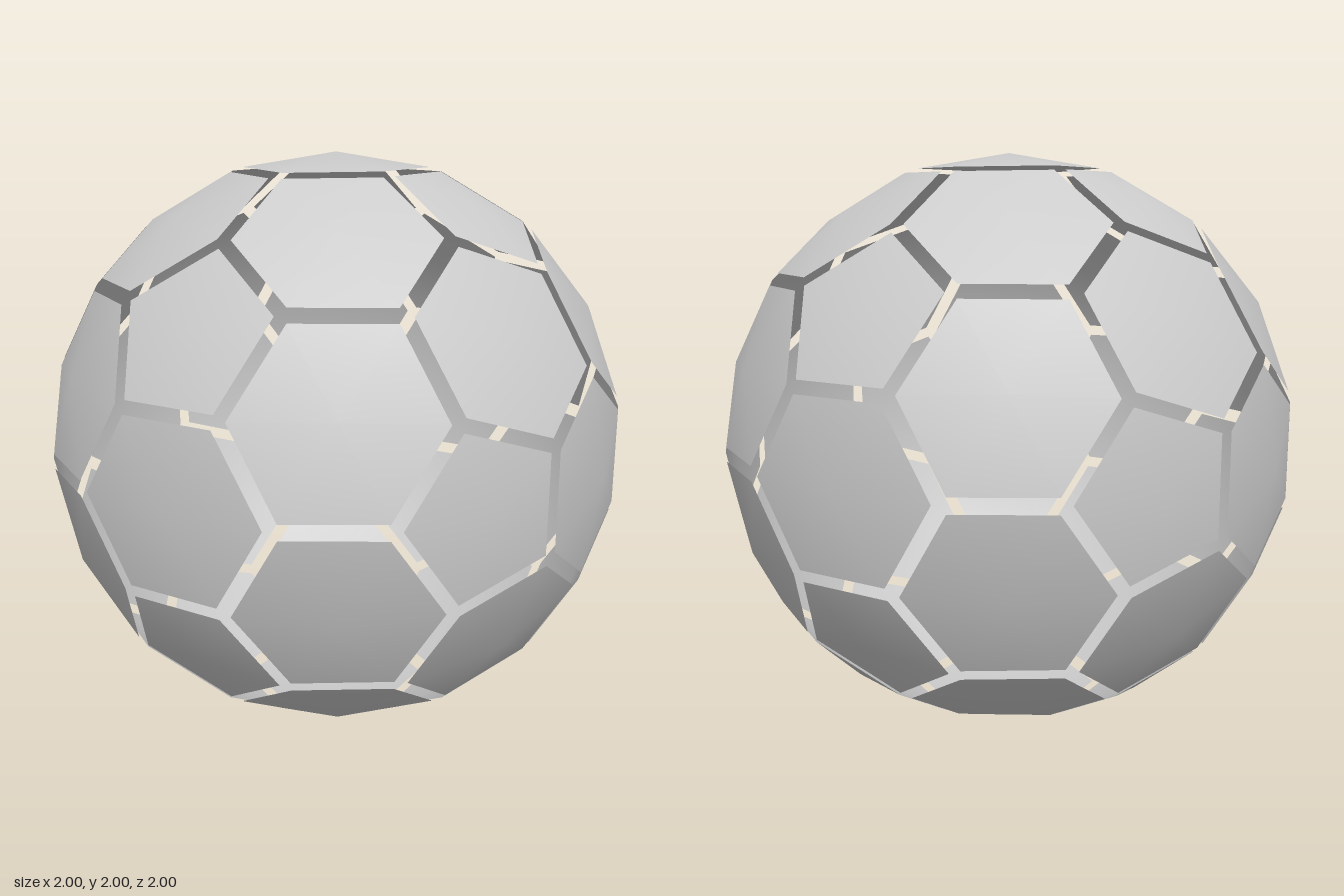
import * as THREE from 'three';

const INSET = 0.92; // panel size relative to its full cell, leaving the gaps

// Panel centres: 12 icosahedron corners (pentagons) and 30 edge midpoints (hexagons)
function panelCentres() {
  const phi = (1 + Math.sqrt(5)) / 2;
  const corners = [];
  for (const a of [1, -1]) for (const b of [phi, -phi]) {
    corners.push(
      new THREE.Vector3(0, a, b).normalize(),
      new THREE.Vector3(a, b, 0).normalize(),
      new THREE.Vector3(b, 0, a).normalize()
    );
  }
  const mids = [];
  corners.forEach((p, i) => corners.slice(i + 1).forEach((q) => {
    if (p.dot(q) > 0.4) mids.push(p.clone().add(q).normalize());
  }));
  return [...corners, ...mids];
}

// Shallow domed panel: a fan from the centre to its inset rim, all on the unit sphere
function panelGeometry(centre, centres) {
  const near = centres.filter((c) => c !== centre && c.dot(centre) > 0.766);

  // order the neighbours counter-clockwise as seen from outside
  const u = near[0].clone().projectOnPlane(centre).normalize();
  const v = centre.clone().cross(u);
  const angle = (p) => Math.atan2(p.dot(v), p.dot(u));
  near.sort((p, q) => angle(p) - angle(q));

  const n = near.length;
  const points = [centre];
  const index = [];
  for (let i = 0; i < n; i++) {
    const corner = centre.clone().add(near[i]).add(near[(i + 1) % n]).normalize();
    points.push(centre.clone().lerp(corner, INSET).normalize());
    index.push(0, 1 + i, 1 + ((i + 1) % n));
  }
  const geometry = new THREE.BufferGeometry().setFromPoints(points);
  geometry.setIndex(index);
  geometry.computeVertexNormals();
  return geometry;
}

export function createModel() {
  const group = new THREE.Group();
  group.name = 'panelledSphere';
  const material = new THREE.MeshStandardMaterial({ color: 0xcccccc, side: THREE.DoubleSide });

  const centres = panelCentres();
  centres.forEach((centre, i) => {
    const panel = new THREE.Mesh(panelGeometry(centre, centres), material);
    panel.name = i < 12 ? `pentagonPanel${i + 1}` : `hexagonPanel${i - 11}`;
    panel.position.y = 1;
    group.add(panel);
  });
  return group;
}
